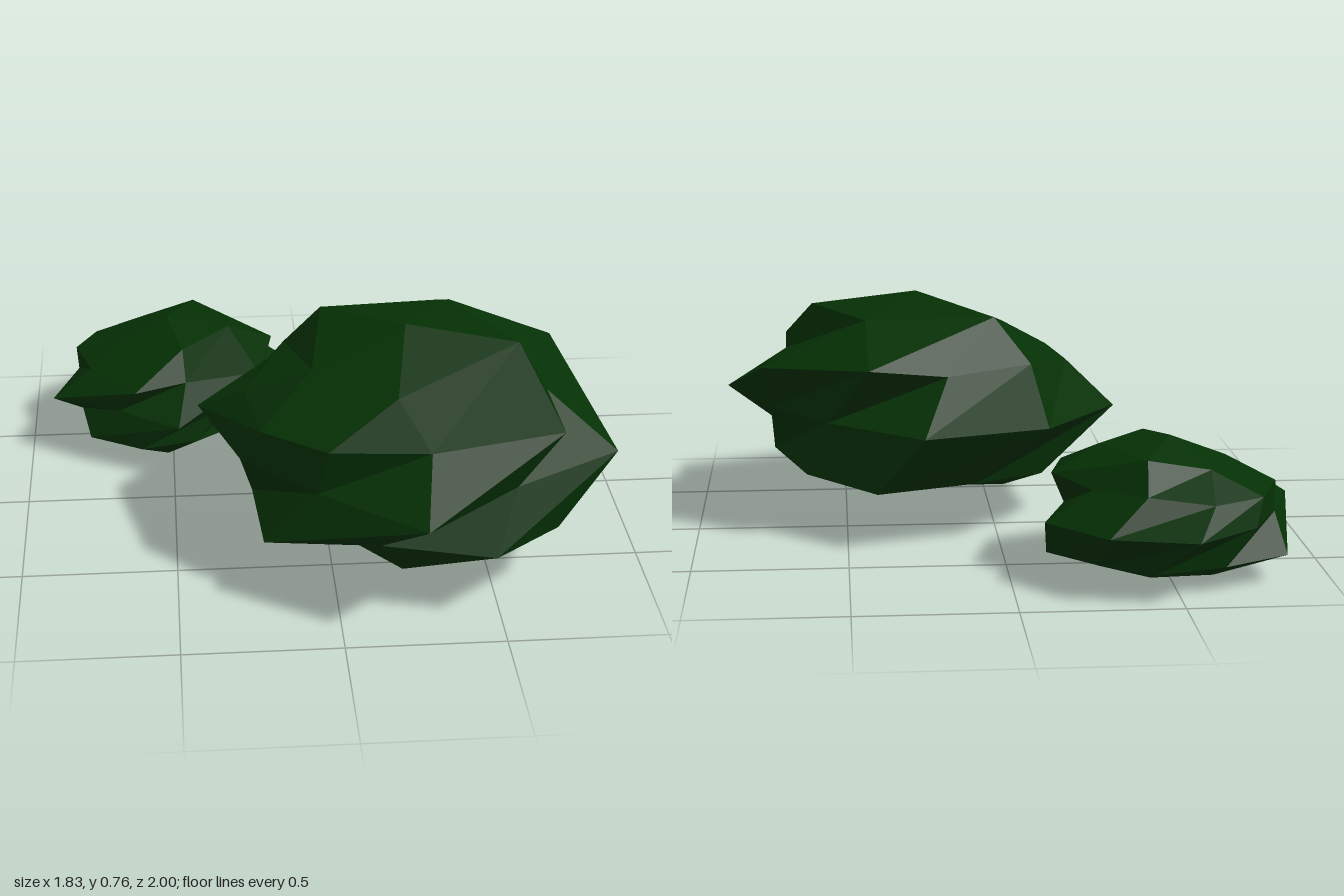
import * as THREE from 'three';

// Rings of the clump, each point as [angle in degrees, radius, height].
// The upper and lower rings are twisted opposite ways against the rim.
const upperRing = [
  [328, 0.625, 0.17], [10, 0.46, 0.16], [40, 0.60, 0.16], [86, 0.48, 0.15], [122, 0.53, 0.15],
  [152, 0.54, 0.13], [185, 0.52, 0.13], [222, 0.50, 0.17], [260, 0.49, 0.16], [287, 0.60, 0.20],
];
const lowerRing = [
  [38, 0.58, -0.19], [68, 0.615, -0.17], [104, 0.50, -0.16], [140, 0.625, -0.18], [176, 0.50, -0.19],
  [218, 0.52, -0.21], [250, 0.52, -0.20], [284, 0.63, -0.20], [320, 0.50, -0.20], [5, 0.50, -0.19],
];
const crownRing = [[9, 0.365, 0.32], [100, 0.30, 0.25], [169, 0.31, 0.25], [227, 0.37, 0.32], [301, 0.35, 0.32]];
const baseRing = [[24, 0.37, -0.315], [96, 0.37, -0.315], [168, 0.33, -0.28], [223, 0.39, -0.26], [300, 0.32, -0.26]];

// Jagged rim: long tips and deep notches at even angles
const rimRadii = [0.70, 0.53, 0.70, 0.53, 0.57, 0.70, 0.70, 0.70, 0.53, 0.53];

function toPoint([angle, radius, y]) {
  const a = THREE.MathUtils.degToRad(angle);
  return new THREE.Vector3(Math.cos(a) * radius, y, Math.sin(a) * radius);
}

function clumpGeometry() {
  const upper = upperRing.map(toPoint);
  const lower = lowerRing.map(toPoint);
  const crown = crownRing.map(toPoint);
  const base = baseRing.map(toPoint);
  const rim = rimRadii.map((r, i) => toPoint([18 + 36 * i, r, 0]));
  const top = new THREE.Vector3(0, 0.37, 0);
  const bottom = new THREE.Vector3(0, -0.30, 0);

  const corners = [];
  const tri = (a, b, c) => corners.push(a, b, c);

  // Side bands above and below the rim
  for (let i = 0; i < 10; i++) {
    const next = (i + 1) % 10, prev = (i + 9) % 10;
    tri(upper[i], upper[next], rim[i]);
    tri(rim[prev], upper[i], rim[i]);
    tri(rim[prev], rim[i], lower[i]);
    tri(lower[i], rim[i], lower[next]);
  }

  // Crown and underside caps
  for (let i = 0; i < 5; i++) {
    const next = (i + 1) % 5;
    const u = (2 * i + 2) % 10;
    tri(upper[2 * i + 1], crown[i], upper[u]);
    tri(upper[u], crown[i], upper[u + 1]);
    tri(crown[i], crown[next], upper[u + 1]);
    tri(crown[i], top, crown[next]);

    const l = (2 * i + 9) % 10;
    tri(lower[(l + 9) % 10], lower[l], base[i]);
    tri(lower[l], lower[2 * i], base[i]);
    tri(base[i], lower[2 * i], base[next]);
    tri(base[i], base[next], bottom);
  }

  const geometry = new THREE.BufferGeometry().setFromPoints(corners);
  geometry.computeVertexNormals();
  return geometry;
}

export function createModel() {
  const model = new THREE.Group();
  model.name = 'foliageClumps';

  const leafGreen = new THREE.MeshStandardMaterial({ color: 0x053005, flatShading: true });
  leafGreen.name = 'leafGreen';
  const geometry = clumpGeometry();

  const largeClump = new THREE.Mesh(geometry, leafGreen);
  largeClump.name = 'largeClump';
  largeClump.position.set(0.25, 0.39, 0.30);

  // Same clump, smaller and turned
  const smallClump = new THREE.Mesh(geometry, leafGreen);
  smallClump.name = 'smallClump';
  smallClump.position.set(-0.51, 0.20, -0.56);
  smallClump.rotation.y = THREE.MathUtils.degToRad(-68);
  smallClump.scale.setScalar(0.63);

  model.add(largeClump, smallClump);
  return model;
}
